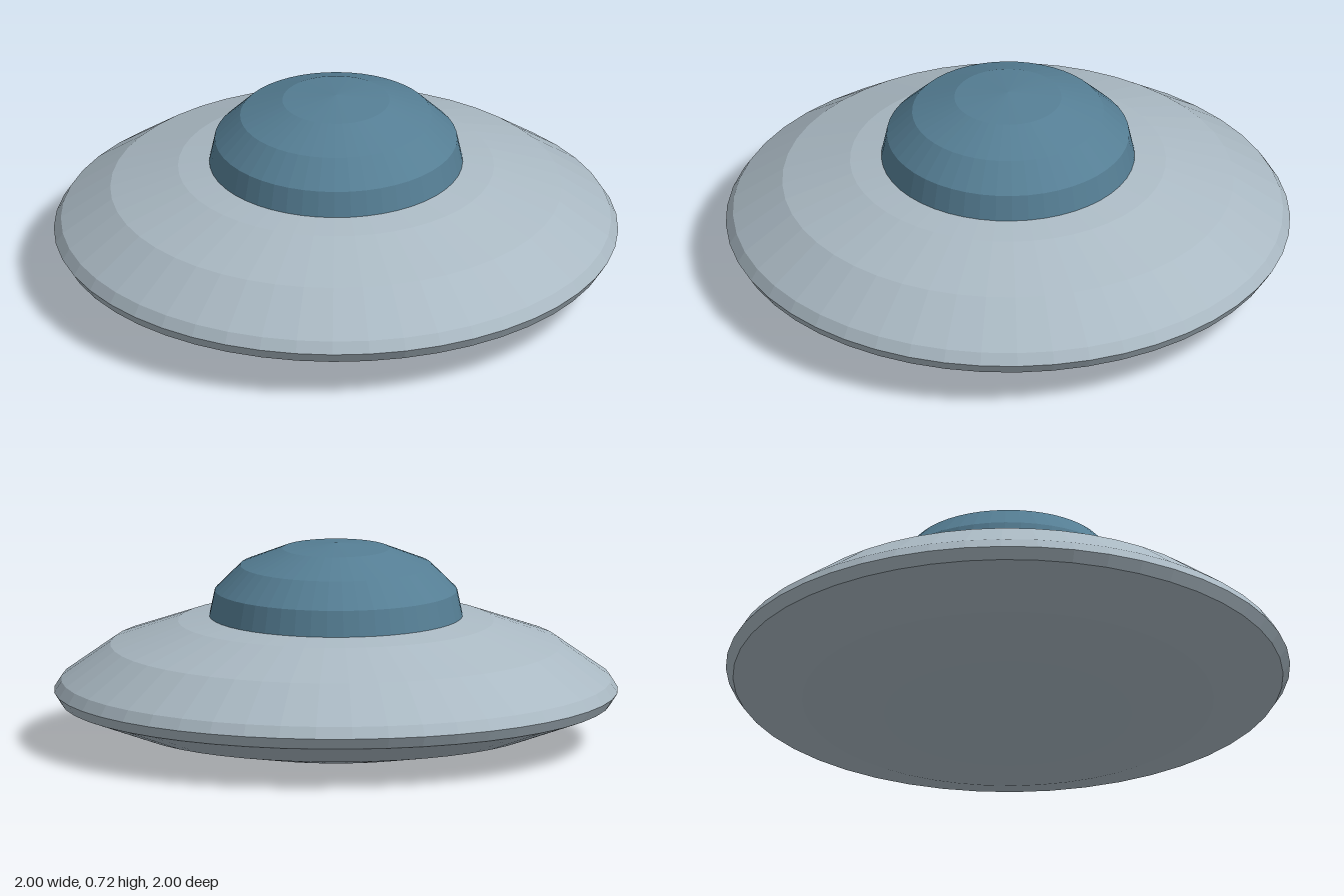
import * as THREE from 'three';

const SEGMENTS = 48;

// Faceted solid of revolution; the profile runs from bottom to top as [radius, height]
function turned(name, profile, color) {
  const points = profile.map(([r, y]) => new THREE.Vector2(r, y));
  const material = new THREE.MeshStandardMaterial({ color, flatShading: true });
  const mesh = new THREE.Mesh(new THREE.LatheGeometry(points, SEGMENTS), material);
  mesh.name = name;
  return mesh;
}

export function createModel() {
  const group = new THREE.Group();
  group.name = 'flyingSaucer';

  // Saucer body: flat belly, shallow underside, bevelled rim, domed upper deck
  group.add(turned('hull', [
    [0, 0], [0.44, 0.003], [0.73, 0.06], [0.975, 0.15], [1, 0.19],
    [0.975, 0.23], [0.8, 0.355], [0.56, 0.44], [0.44, 0.46], [0, 0.46],
  ], 0xaab9c3));

  // Cockpit canopy
  group.add(turned('canopy', [
    [0.45, 0.455], [0.43, 0.55], [0.34, 0.64], [0.19, 0.70], [0, 0.72],
  ], 0x557e94));

  return group;
}
